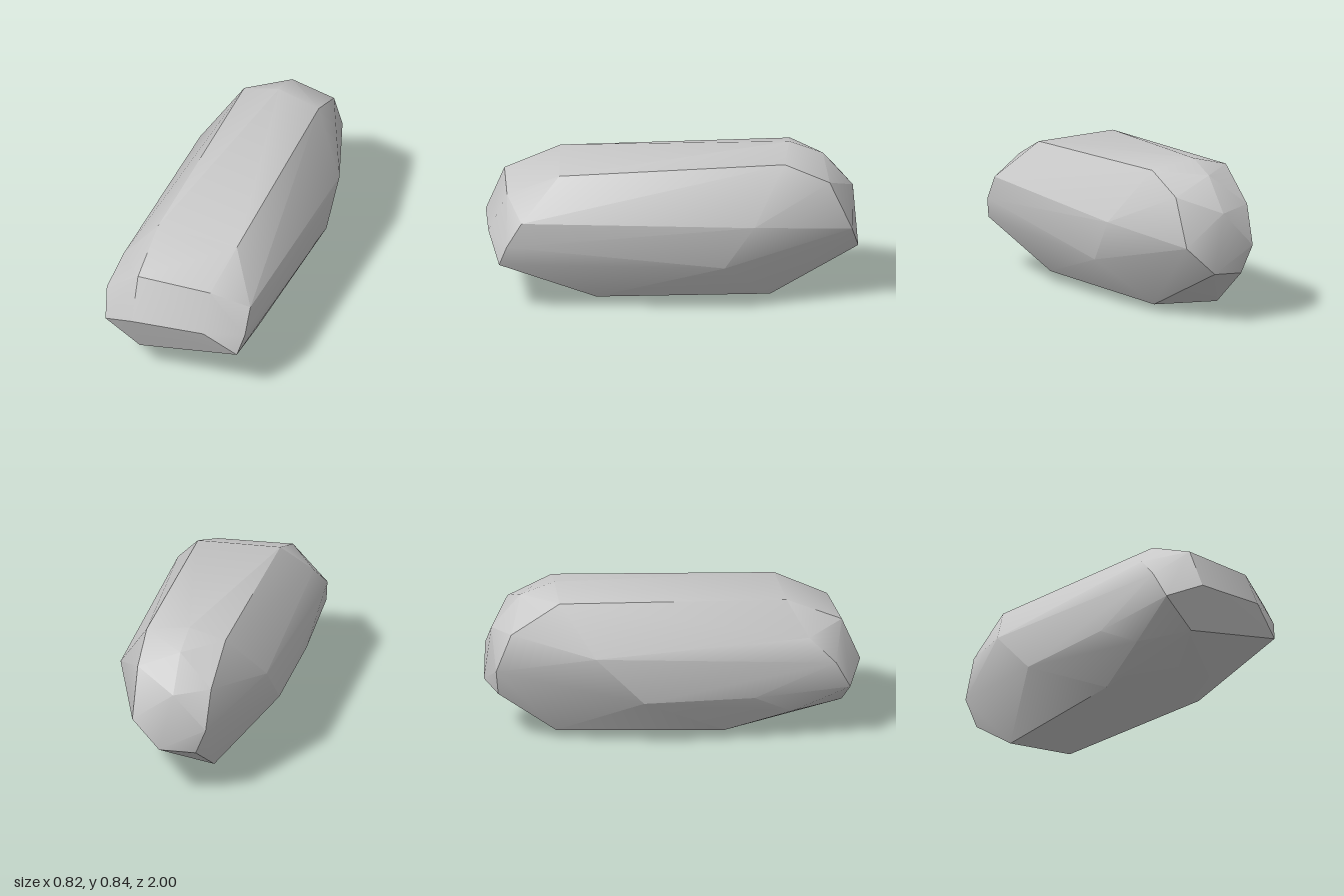
import * as THREE from 'three';
import { ConvexGeometry } from 'three/addons/geometries/ConvexGeometry.js';
import { toCreasedNormals } from 'three/addons/utils/BufferGeometryUtils.js';

// Corners of the long faceted boulder, grouped from front to back
const front = [
  [-0.2, 0.385, 1], [0.205, 0.405, 0.98], [0.375, 0.27, 0.92],
  [-0.195, 0.155, 0.9], [-0.385, 0.295, 0.92],
  [0.205, 0.61, 0.88], [-0.205, 0.617, 0.9],
];
const sides = [
  [0.405, 0.38, 0.88], [0.405, 0.515, 0.8], [0.41, 0.5, -0.45], [0.4, 0.265, -0.29],
  [-0.41, 0.445, 0.84], [-0.37, 0.58, 0.7], [-0.4, 0.53, -0.46],
  [-0.405, 0.265, 0.4], [-0.405, 0.265, -0.2],
];
const topRidge = [
  [0.245, 0.73, 0.6], [-0.21, 0.745, 0.6],
  [0.225, 0.795, -0.61], [-0.215, 0.79, -0.63], [-0.015, 0.842, -0.63],
];
const underside = [
  [0.285, 0.06, 0.4], [0.08, 0, 0.38], [-0.245, 0.03, 0.26], [-0.33, 0.15, 0.61],
  [0.17, 0.04, -0.53], [-0.155, 0.045, -0.64],
];
const back = [
  [-0.01, 0.78, -0.81], [0.215, 0.69, -0.85], [-0.2, 0.62, -0.89],
  [-0.01, 0.6, -0.97], [0.215, 0.43, -0.97], [-0.19, 0.41, -0.97],
  [0.06, 0.28, -1], [-0.13, 0.26, -0.95],
];

export function createModel() {
  const group = new THREE.Group();
  group.name = 'boulder';

  const stoneGrey = new THREE.MeshStandardMaterial({ color: 0xc8c8c8 });
  stoneGrey.name = 'pale stone grey';

  // Convex stone body, soft across shallow facets and sharp at steep ones
  const corners = [...front, ...sides, ...topRidge, ...underside, ...back]
    .map((p) => new THREE.Vector3(...p));
  const geometry = toCreasedNormals(new ConvexGeometry(corners), THREE.MathUtils.degToRad(30));
  const stone = new THREE.Mesh(geometry, stoneGrey);
  stone.name = 'stone';
  group.add(stone);
  return group;
}
